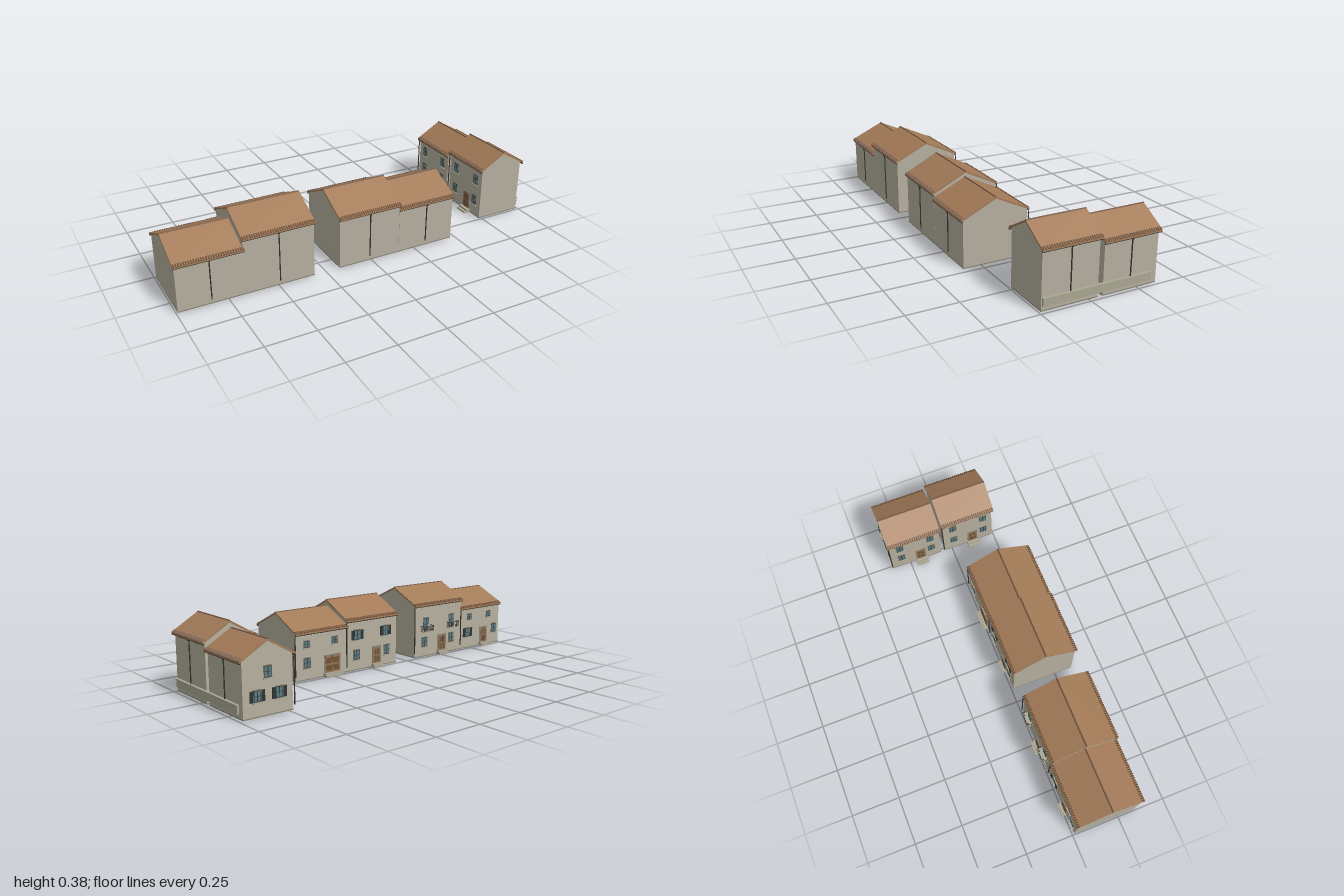
import * as THREE from 'three';
import { mergeGeometries } from 'three/addons/utils/BufferGeometryUtils.js';

const mat = (name, color) => Object.assign(new THREE.MeshStandardMaterial({ color }), { name });

export function createModel() {
  const M = {
    wall: mat('plaster', 0xb5af9f),
    stone: mat('stone', 0xaaa793),
    roof: mat('roof clay', 0xa37b58),
    tile: mat('tile ends', 0x70523b),
    iron: mat('dark metal', 0x33332f),
    floor: mat('dark floor', 0x24221f),
    glass: mat('window glass', 0x5b7c86),
    shutter: mat('shutter', 0x2c3533),
    wood: mat('door wood', 0x96704d),
    trim: mat('trim', 0x87806f),
  };
  const town = new THREE.Group();
  town.name = 'village';

  const add = (parent, name, geo, m, x = 0, y = 0, z = 0) => {
    const mesh = new THREE.Mesh(geo, m);
    mesh.name = name;
    mesh.position.set(x, y, z);
    parent.add(mesh);
    return mesh;
  };
  const box = (parent, name, m, w, h, d, x, y, z) =>
    add(parent, name, new THREE.BoxGeometry(w, h, d), m, x, y, z);

  // Extrudes a (z, y) profile along local x, centred
  const prism = (pts, len) => {
    const shape = new THREE.Shape(pts.map(([z, y]) => new THREE.Vector2(z, y)));
    return new THREE.ExtrudeGeometry(shape, { depth: len, bevelEnabled: false })
      .translate(0, 0, -len / 2).rotateY(-Math.PI / 2);
  };

  // Window on a wall facing -z; z is the wall plane
  const addWindow = (parent, z, { x, y, w = 0.034, h = 0.05, shutters, balcony }) => {
    const g = new THREE.Group();
    g.name = 'window';
    g.position.set(x, y, z);
    parent.add(g);
    box(g, 'windowSurround', M.trim, w + 0.008, h + 0.008, 0.004, 0, 0, -0.001);
    box(g, 'windowFrame', M.shutter, w, h, 0.003, 0, 0, -0.002);
    for (const s of [-1, 1])
      box(g, 'windowPane', M.glass, w / 2 - 0.004, h - 0.006, 0.003, s * w / 4, 0, -0.003);
    box(g, 'windowBar', M.shutter, w, 0.002, 0.002, 0, 0, -0.004);
    if (!balcony) box(g, 'windowSill', M.stone, w + 0.014, 0.004, 0.009, 0, -h / 2 - 0.005, -0.004);
    if (shutters) for (const s of [-1, 1])
      box(g, 'shutter', M.shutter, w / 2, h, 0.004, s * (w * 0.75 + 0.003), 0, -0.004);
    if (balcony) {
      // Slab with an iron railing and two planters
      const by = -h / 2 - 0.004, d = 0.03, bw = 0.074;
      box(g, 'balconySlab', M.stone, bw, 0.005, d, 0, by, -d / 2);
      box(g, 'balconyRail', M.iron, bw, 0.002, 0.002, 0, by + 0.03, -d + 0.001);
      for (let i = 0; i <= 10; i++)
        box(g, 'balconyBar', M.iron, 0.0014, 0.03, 0.0014, (i / 10 - 0.5) * (bw - 0.002), by + 0.015, -d + 0.001);
      for (const s of [-1, 1]) {
        box(g, 'balconySideRail', M.iron, 0.002, 0.002, d, s * (bw / 2 - 0.001), by + 0.03, -d / 2);
        for (let i = 1; i < 4; i++)
          box(g, 'balconySideBar', M.iron, 0.0014, 0.03, 0.0014, s * (bw / 2 - 0.001), by + 0.015, -d * i / 4);
        add(g, 'planter', new THREE.CylinderGeometry(0.005, 0.004, 0.009, 8), M.tile, s * 0.024, by + 0.007, -d + 0.009);
      }
    }
  };

  // Panelled door with steps
  const addDoor = (parent, z, { x, w = 0.045, h = 0.085, step = 0.012 }) => {
    const g = new THREE.Group();
    g.name = 'door';
    g.position.set(x, 0.022, z);
    parent.add(g);
    box(g, 'doorSurround', M.trim, w + 0.012, h + 0.006, 0.006, 0, h / 2 + 0.003, -0.001);
    box(g, 'doorLeaf', M.wood, w, h, 0.006, 0, h / 2, -0.002);
    for (const s of [-1, 1]) for (const k of [0.27, 0.72])
      box(g, 'doorPanel', M.tile, w / 2 - 0.01, h * 0.34, 0.002, s * w / 4, h * k, -0.005);
    box(g, 'doorSplit', M.iron, 0.0015, h, 0.002, 0, h / 2, -0.005);
    box(g, 'upperStep', M.stone, w + 0.022, 0.01, step + 0.008, 0, -0.005, -step / 2 - 0.004);
    box(g, 'lowerStep', M.stone, w + 0.022, 0.009, step * 2 + 0.008, 0, -0.0145, -step - 0.004);
  };

  // House: length along local x, facade facing local -z
  const house = ({ name, len, roofLen, wallHalf, roofHalf, ridge, eave, windows, door, gable = [] }) => {
    const g = new THREE.Group();
    g.name = name;
    const slope = (ridge - eave) / roofHalf, t = 0.009;
    const under = z => ridge - t - slope * Math.abs(z);

    add(g, 'walls', prism([[-wallHalf, 0.003], [wallHalf, 0.003], [wallHalf, under(wallHalf)],
      [0, under(0)], [-wallHalf, under(wallHalf)]], len), M.wall);
    box(g, 'plinth', M.trim, len + 0.001, 0.005, wallHalf * 2 + 0.001, 0, 0.0055, 0);
    box(g, 'floor', M.floor, len - 0.03, 0.003, wallHalf * 2 - 0.03, 0, 0.0015, 0);
    add(g, 'roof', prism([[-roofHalf, eave - t], [0, ridge - t], [roofHalf, eave - t],
      [roofHalf, eave], [0, ridge], [-roofHalf, eave]], roofLen), M.roof);
    add(g, 'ridgeCap', new THREE.CylinderGeometry(0.004, 0.004, roofLen, 8).rotateZ(Math.PI / 2), M.tile, 0, ridge - 0.002, 0);

    // Rounded tile ends and gutters along both eaves
    const n = Math.round(roofLen / 0.0115), tiles = [];
    for (const s of [-1, 1]) {
      for (let i = 0; i < n; i++) {
        const z = roofHalf - 0.008;
        tiles.push(new THREE.CylinderGeometry(0.004, 0.004, 0.018, 6)
          .rotateX(Math.PI / 2 + s * Math.atan(slope))
          .translate(((i + 0.5) / n - 0.5) * roofLen, ridge - slope * z - 0.001, s * z));
      }
      add(g, 'gutter', new THREE.CylinderGeometry(0.0035, 0.0035, roofLen, 8).rotateZ(Math.PI / 2),
        M.iron, 0, eave - t - 0.001, s * (roofHalf - 0.004));
    }
    add(g, 'eaveTiles', mergeGeometries(tiles), M.tile);

    // Downpipes: middle of the rear wall, and the facade corner
    const top = eave - t - 0.006;
    const pipe = new THREE.CylinderGeometry(0.003, 0.003, top - 0.028, 8);
    add(g, 'rearDownpipe', pipe, M.iron, 0, (top + 0.028) / 2, wallHalf + 0.003);
    add(g, 'facadeDownpipe', pipe, M.iron, len / 2 + 0.005, (top + 0.028) / 2, -wallHalf - 0.006);
    box(g, 'pipeElbow', M.iron, 0.006, 0.006, 0.012, 0, top, wallHalf + 0.004);

    windows.forEach(w => addWindow(g, -wallHalf, w));
    addDoor(g, -wallHalf, door);
    const side = new THREE.Group();
    side.name = 'gableWindows';
    side.rotation.y = -Math.PI / 2;
    gable.forEach(w => addWindow(side, -len / 2, w));
    g.add(side);
    town.add(g);
    return g;
  };

  const small = { w: 0.03, h: 0.032 };
  const row = { wallHalf: 0.167, roofHalf: 0.178 };

  // Left pair, facing the back
  house({ ...row, name: 'lowHouseLeft', len: 0.322, roofLen: 0.335, ridge: 0.325, eave: 0.243,
    windows: [{ x: 0.09, y: 0.185, ...small }, { x: -0.07, y: 0.185, ...small },
      { x: 0.105, y: 0.095, shutters: true }, { x: -0.12, y: 0.095 }],
    door: { x: -0.03, step: 0.008 } }).position.set(-0.832, 0, 0.178);
  house({ ...row, name: 'tallHouseLeft', len: 0.357, roofLen: 0.367, ridge: 0.38, eave: 0.296,
    windows: [{ x: -0.1, y: 0.185, h: 0.068, balcony: true }, { x: 0.098, y: 0.185, h: 0.068, balcony: true },
      { x: -0.1, y: 0.085 }, { x: 0.105, y: 0.085 }],
    door: { x: -0.027, w: 0.05, step: 0.01 } }).position.set(-0.493, 0, 0.178);

  // Middle pair, facing the back
  house({ ...row, name: 'tallHouseMiddle', len: 0.333, roofLen: 0.342, ridge: 0.36, eave: 0.272,
    windows: [{ x: -0.09, y: 0.19, shutters: true }, { x: 0.1, y: 0.19, shutters: true },
      { x: -0.1, y: 0.085 }, { x: 0.105, y: 0.085 }],
    door: { x: -0.03, step: 0.008 } }).position.set(-0.01, 0, 0.178);
  house({ ...row, name: 'lowHouseMiddle', len: 0.315, roofLen: 0.322, ridge: 0.33, eave: 0.246,
    windows: [{ x: 0.09, y: 0.185, ...small }, { x: -0.08, y: 0.185, ...small }, { x: 0.09, y: 0.09 }],
    door: { x: -0.065, w: 0.088, step: 0.01 } }).position.set(0.315, 0, 0.178);

  // Right pair, turned to face left across the street
  const turned = { wallHalf: 0.125, roofHalf: 0.14, len: 0.284, roofLen: 0.3 };
  const four = [{ x: 0.085, y: 0.195 }, { x: -0.09, y: 0.195 }, { x: 0.085, y: 0.095 }, { x: -0.09, y: 0.095 }];
  const tall = house({ ...turned, name: 'tallHouseRight', ridge: 0.37, eave: 0.288,
    windows: four.map(w => ({ ...w, y: w.y > 0.15 ? 0.215 : w.y })), door: { x: -0.025, step: 0.014 } });
  const low = house({ ...turned, name: 'lowHouseRight', ridge: 0.34, eave: 0.26,
    windows: four, door: { x: -0.025, step: 0.014 },
    gable: [{ x: 0, y: 0.197 }, { x: 0.055, y: 0.098, shutters: true }, { x: -0.055, y: 0.098, shutters: true }] });
  tall.position.set(0.86, 0, 0.1);
  low.position.set(0.86, 0, -0.209);
  for (const h of [tall, low]) h.rotation.y = Math.PI / 2;

  // Long ledge behind the right pair
  box(town, 'ledge', M.stone, 0.01, 0.038, 0.556, 0.989, 0.044, -0.041);
  box(town, 'ledgeCap', M.stone, 0.014, 0.004, 0.56, 0.991, 0.065, -0.041);

  return town;
}
